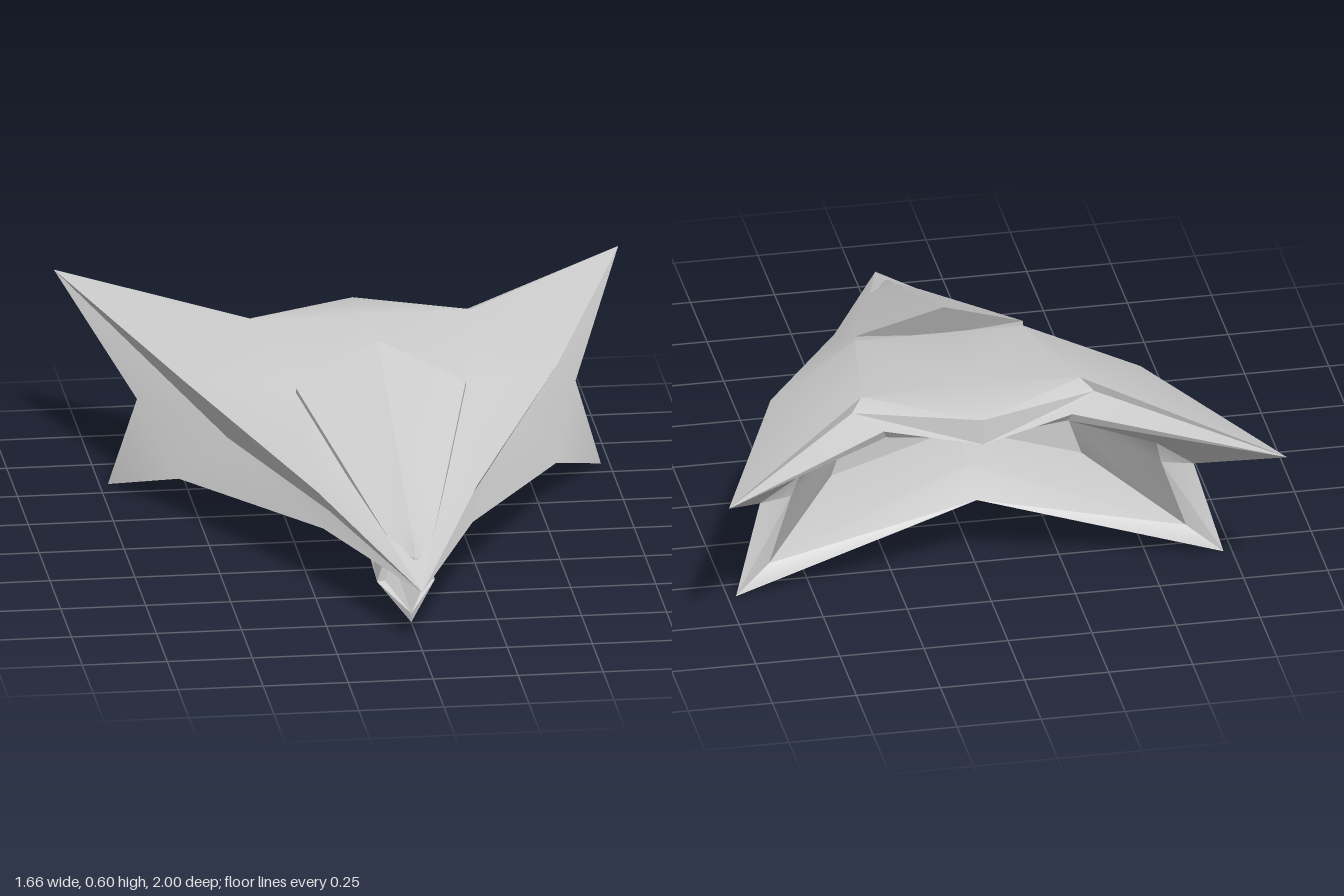
import * as THREE from 'three';
import { toCreasedNormals } from 'three/addons/utils/BufferGeometryUtils.js';

const material = new THREE.MeshStandardMaterial({ color: 0xcccccc, side: THREE.DoubleSide });

// Skins rows of half cross-sections (each running top to bottom on +x) and mirrors them across x = 0
function loftMirrored(name, rows, crease = 0.45) {
  const pos = [];
  const v = (p) => new THREE.Vector3(...p);
  const tri = (a, b, c) => {
    const area = v(b).sub(v(a)).cross(v(c).sub(v(a))).length();
    if (area < 1e-6) return; // skip collapsed corners
    pos.push(...a, ...b, ...c);
    for (const p of [a, c, b]) pos.push(-p[0], p[1], p[2]);
  };
  for (let r = 0; r < rows.length - 1; r++) {
    for (let c = 0; c < rows[r].length - 1; c++) {
      const a = rows[r][c], b = rows[r][c + 1], d = rows[r + 1][c], e = rows[r + 1][c + 1];
      tri(a, b, d);
      tri(b, e, d);
    }
  }
  const geometry = new THREE.BufferGeometry();
  geometry.setAttribute('position', new THREE.Float32BufferAttribute(pos, 3));
  const mesh = new THREE.Mesh(toCreasedNormals(geometry, crease), material);
  mesh.name = name;
  return mesh;
}

const collapse = (p, n) => Array.from({ length: n }, () => p);

// Moves a section towards a centre point and sets it back along z
const inset = (row, k, cy, z) => row.map(([x, y, pz]) => [x * k, cy + (y - cy) * k, z === undefined ? pz : z]);

function buildHull() {
  const wingTip = [0.83, 0.525, -1], notch = [0.645, 0.28, -0.53];
  const finTip = [0.725, 0.005, -0.575], keel = [0, 0.225, -0.53];
  const outer = [wingTip, notch, finTip, keel];
  const frame = [[0, 0.44, -0.55], [0.27, 0.46, -0.53], [0.53, 0.37, -0.55],
    [0.55, 0.29, -0.52], [0.62, 0.085, -0.54], [0, 0.28, -0.41]];
  // columns: deck centre, deck crease, wing edge, side valley, fin edge, keel
  return loftMirrored('hull', [
    collapse([0, 0.185, 1], 6),
    [[0, 0.36, 0.42], [0.145, 0.355, 0.42], [0.235, 0.305, 0.42],
      [0.2, 0.245, 0.42], [0.22, 0.195, 0.43], [0, 0.19, 0.43]],
    [[0, 0.49, 0.04], [0.25, 0.48, 0.04], [0.55, 0.445, -0.21],
      [0.42, 0.265, -0.2], [0.555, 0.12, -0.27], [0, 0.21, -0.2]],
    [[0, 0.552, -0.42], [0.325, 0.548, -0.435], ...outer],
    [[0, 0.535, -0.62], [0.36, 0.52, -0.475], ...outer],
    // rear lip, frame and hollow stern
    [[0, 0.46, -0.63], [0.28, 0.49, -0.55], ...outer],
    frame,
    inset(frame, 0.6, 0.33, -0.22),
    collapse([0, 0.33, -0.22], 6),
  ]);
}

function buildCanopy() {
  const side = [0.25, 0.495, 0.04], sideLow = [0.25, 0.465, 0.04];
  return loftMirrored('canopy', [
    collapse([0, 0.235, 0.85], 3),
    [[0, 0.262, 0.8], [0.032, 0.24, 0.8], [0.032, 0.215, 0.8]],
    [[0, 0.302, 0.7], [0.075, 0.275, 0.7], [0.075, 0.25, 0.7]],
    [[0, 0.605, -0.035], side, sideLow],
    [[0, 0.485, 0.02], sideLow, sideLow],
  ], 0.3);
}

function buildPod() {
  // columns: top centre, shoulder, side, bottom ridge
  const mouth = [[0, 0.16, 0.745], [0.055, 0.18, 0.62], [0.085, 0.09, 0.62], [0, 0.005, 0.745]];
  const rim = inset(mouth, 0.72, 0.1);
  const rear = [[0, 0.23, -0.08], [0.05, 0.23, -0.08], [0.085, 0.18, -0.08], [0, 0.115, -0.15]];
  return loftMirrored('bellyPod', [
    collapse([0, 0.13, 0.4], 4),
    inset(mouth, 0.6, 0.11, 0.4),
    rim,
    mouth,
    [[0, 0.2, 0.6], [0.055, 0.195, 0.58], [0.085, 0.095, 0.58], [0, 0.026, 0.58]],
    rear,
    collapse([0, 0.23, -0.08], 4),
  ], 0.3);
}

export function createModel() {
  const model = new THREE.Group();
  model.name = 'starfighter';
  model.add(buildHull(), buildCanopy(), buildPod());
  return model;
}
